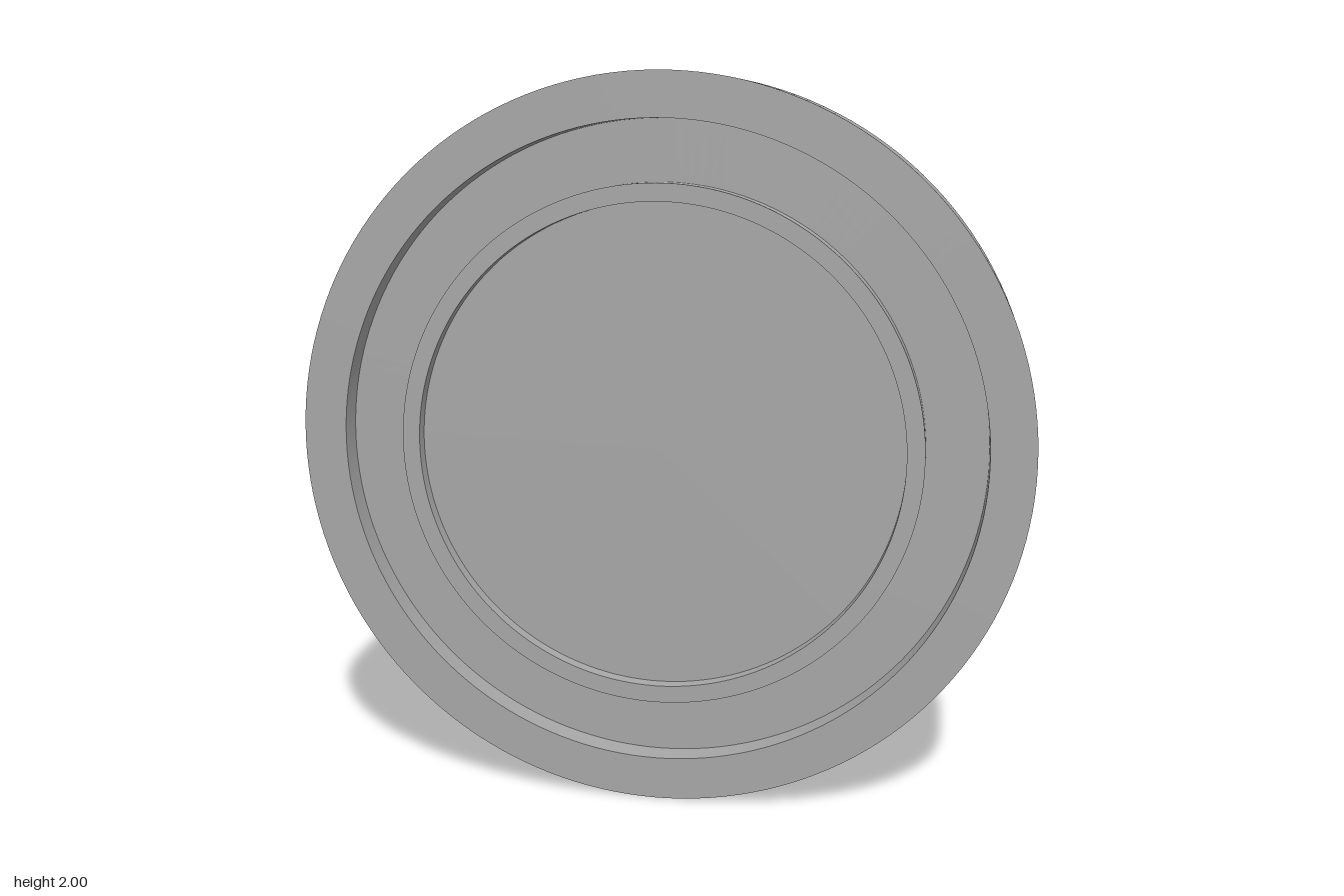
import * as THREE from 'three';
import { toCreasedNormals, mergeGeometries } from 'three/addons/utils/BufferGeometryUtils.js';

const SEGMENTS = 160;

// Revolves a [radius, depth] profile about the z axis, keeping corners sharp
function revolve(profile) {
  const points = profile.map(([r, z]) => new THREE.Vector2(r, z));
  const geometry = new THREE.LatheGeometry(points, SEGMENTS);
  geometry.rotateX(Math.PI / 2);
  return toCreasedNormals(geometry, 0.5);
}

// Front profile plus the same thing turned around for the back
function bothSides(profile) {
  const front = revolve(profile);
  return mergeGeometries([front, front.clone().rotateX(Math.PI)]);
}

export function createModel() {
  const group = new THREE.Group();
  group.name = 'roundDisc';
  const grey = new THREE.MeshStandardMaterial({ color: 0xa8a8a8 });
  grey.name = 'grey';

  const rimIn = 0.88, ringOut = 0.715, ringIn = 0.667;
  const face = 0.1, grooveZ = 0.03, ringZ = 0.096, panelZ = 0.058;

  const add = (name, geometry) => {
    const mesh = new THREE.Mesh(geometry, grey);
    mesh.name = name;
    mesh.position.y = 1;
    group.add(mesh);
  };

  // Thick outer rim with its inner walls
  add('outerRim', revolve([
    [rimIn, -grooveZ], [rimIn, -face], [1, -face],
    [1, face], [rimIn, face], [rimIn, grooveZ],
  ]));
  // Recessed floor between rim and ring
  add('grooveFloor', bothSides([[rimIn, grooveZ], [ringOut, grooveZ]]));
  // Narrow raised ring
  add('raisedRing', bothSides([
    [ringOut, grooveZ], [ringOut, ringZ], [ringIn, ringZ], [ringIn, panelZ],
  ]));
  // Flat centre panel
  add('centrePanel', bothSides([[ringIn, panelZ], [0, panelZ]]));

  return group;
}
